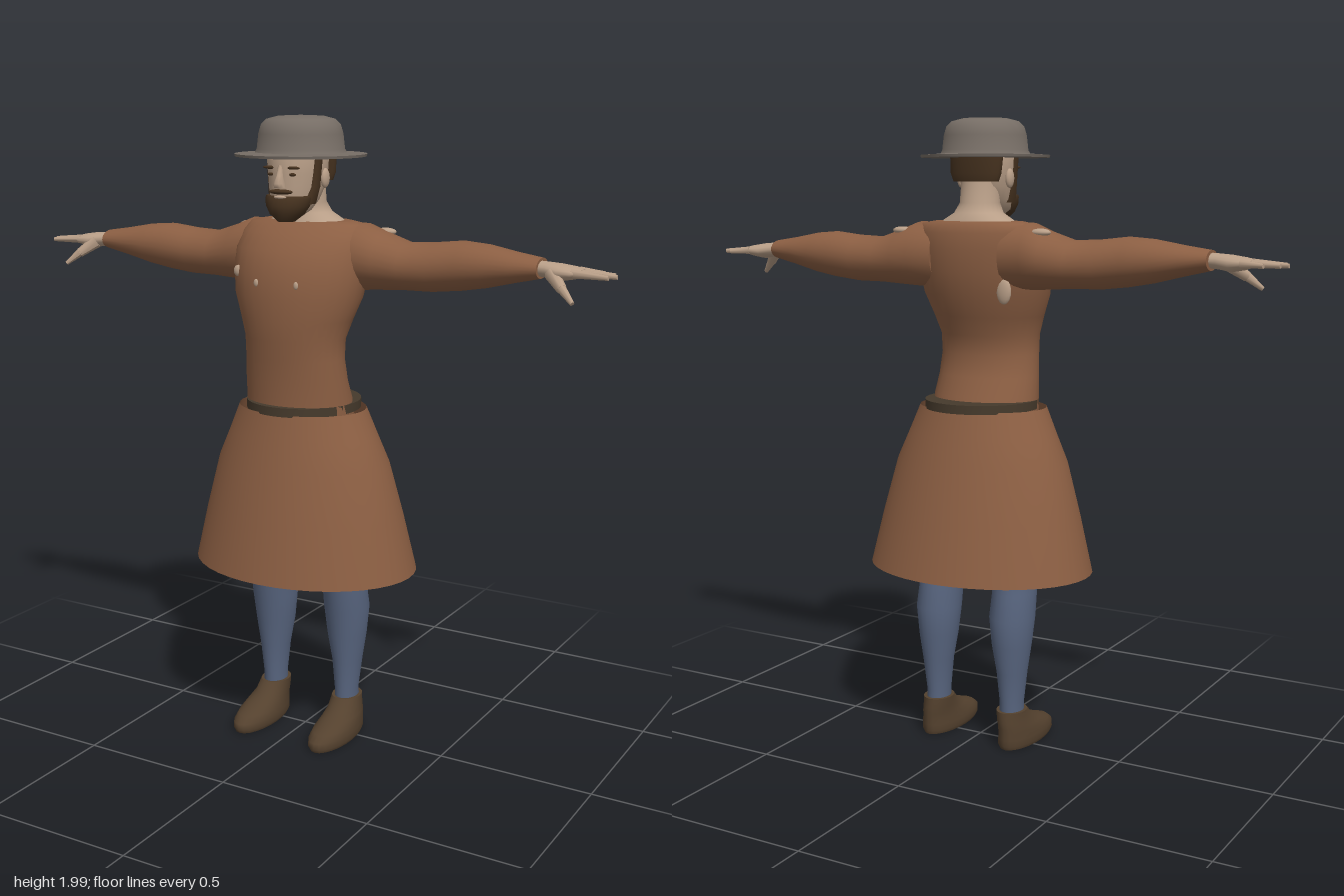
import * as THREE from 'three';
import { toCreasedNormals } from 'three/addons/utils/BufferGeometryUtils.js';

const mat = (name, color, side = THREE.FrontSide) => {
  const m = new THREE.MeshStandardMaterial({ color, side });
  m.name = name;
  return m;
};

// Oval rings [t, u0, u1, v0, v1] stacked in ascending t; (t,u,v) is x,y,z / y,z,x / z,x,y.
function loft(rings, axis, { n = 24, caps = true } = {}) {
  const pos = [], idx = [];
  const put = (t, u, v) => {
    const p = [0, 0, 0];
    p[axis] = t; p[(axis + 1) % 3] = u; p[(axis + 2) % 3] = v;
    pos.push(...p);
    return pos.length / 3 - 1;
  };
  const ring = ([t, u0, u1, v0, v1]) => {
    for (let j = 0; j < n; j++) {
      const a = j / n * Math.PI * 2;
      put(t, (u0 + u1) / 2 + (u1 - u0) / 2 * Math.cos(a), (v0 + v1) / 2 + (v1 - v0) / 2 * Math.sin(a));
    }
  };
  rings.forEach(ring);
  for (let i = 0; i < rings.length - 1; i++) for (let j = 0; j < n; j++) {
    const k = (j + 1) % n, a = i * n + j, b = i * n + k;
    idx.push(a, b, b + n, a, b + n, a + n);
  }
  if (caps) [rings[0], rings[rings.length - 1]].forEach((r, end) => {
    const s = pos.length / 3;
    ring(r);
    const c = put(r[0], (r[1] + r[2]) / 2, (r[3] + r[4]) / 2);
    for (let j = 0; j < n; j++) {
      const k = (j + 1) % n;
      end ? idx.push(c, s + j, s + k) : idx.push(c, s + k, s + j);
    }
  });
  const g = new THREE.BufferGeometry();
  g.setAttribute('position', new THREE.Float32BufferAttribute(pos, 3));
  g.setIndex(idx);
  g.computeVertexNormals();
  return g;
}

// Rings symmetric about x = 0: [y, zBack, zFront, halfWidth]
const column = (rows, opt) => loft(rows.map(([y, b, f, w]) => [y, b, f, -w, w]), 1, opt);

function mirrorX(geo) {
  const g = geo.clone().scale(-1, 1, 1), ix = g.index.array;
  for (let i = 0; i < ix.length; i += 3) [ix[i], ix[i + 1]] = [ix[i + 1], ix[i]];
  g.computeVertexNormals();
  return g;
}

// Tapered rod between two points
function rod(a, b, r0, r1) {
  const A = new THREE.Vector3(...a), d = new THREE.Vector3(...b).sub(A);
  const g = new THREE.CylinderGeometry(r1, r0, d.length(), 8, 1);
  g.applyQuaternion(new THREE.Quaternion().setFromUnitVectors(new THREE.Vector3(0, 1, 0), d.clone().normalize()));
  return g.translate(...A.addScaledVector(d, 0.5).toArray());
}

const blob = (x, y, z, rx, ry, rz) => new THREE.SphereGeometry(1, 14, 10).scale(rx, ry, rz).translate(x, y, z);

export function createModel() {
  const root = new THREE.Group();
  root.name = 'figure';
  const cloth = mat('russetCloth', 0x8c5f43);
  const skirtCloth = mat('skirtCloth', 0x8c5f43, THREE.DoubleSide);
  const skin = mat('skin', 0xb99f88);
  const hair = mat('darkHair', 0x46321f);
  const blue = mat('blueStocking', 0x58657f);
  const leather = mat('shoeLeather', 0x54412e);
  const beltMat = mat('beltLeather', 0x463a2c);
  const felt = mat('greyFelt', 0x766d65);

  const add = (name, geo, m) => {
    const mesh = new THREE.Mesh(geo, m);
    mesh.name = name;
    root.add(mesh);
  };
  const pair = (name, geo, m) => {
    add(name + 'Left', geo, m);
    add(name + 'Right', mirrorX(geo), m);
  };

  // Tunic body
  add('tunic', column([
    [1.08, -0.11, 0.17, 0.178], [1.14, -0.095, 0.17, 0.175], [1.2, -0.065, 0.172, 0.17],
    [1.27, -0.05, 0.177, 0.165], [1.33, -0.06, 0.185, 0.166], [1.39, -0.085, 0.19, 0.185],
    [1.46, -0.11, 0.19, 0.212], [1.53, -0.125, 0.182, 0.222], [1.6, -0.13, 0.158, 0.226],
    [1.65, -0.125, 0.115, 0.218], [1.677, -0.115, 0.085, 0.195], [1.685, -0.1, 0.07, 0.15],
  ], { n: 32 }), cloth);

  // Sleeves: [x, yBottom, yTop, zBack, zFront]
  pair('sleeve', loft([
    [0.12, 1.48, 1.68, -0.115, 0.075], [0.2, 1.478, 1.682, -0.13, 0.08], [0.26, 1.482, 1.658, -0.13, 0.068],
    [0.34, 1.487, 1.632, -0.118, 0.058], [0.43, 1.488, 1.636, -0.112, 0.052], [0.52, 1.498, 1.646, -0.108, 0.05],
    [0.6, 1.512, 1.64, -0.1, 0.048], [0.69, 1.534, 1.624, -0.08, 0.038], [0.77, 1.552, 1.612, -0.066, 0.03],
  ], 0), cloth);

  // Hands
  pair('palm', loft([
    [0.75, 1.56, 1.605, -0.045, 0.015], [0.79, 1.557, 1.603, -0.05, 0.02], [0.83, 1.55, 1.6, -0.062, 0.035],
    [0.87, 1.557, 1.594, -0.064, 0.032], [0.895, 1.565, 1.588, -0.06, 0.025],
  ], 0, { n: 16 }), skin);
  [[-0.053, -0.068, 0.94], [-0.03, -0.04, 0.98], [-0.007, -0.01, 0.995], [0.016, 0.022, 0.98]].forEach(([z0, z1, x], i) => {
    pair('finger' + (i + 1), rod([0.87, 1.577, z0], [x, 1.572, z1], 0.013, 0.007), skin);
  });
  pair('thumbBase', rod([0.81, 1.573, 0.01], [0.855, 1.535, 0.045], 0.022, 0.015), skin);
  pair('thumbTip', rod([0.85, 1.54, 0.042], [0.895, 1.5, 0.066], 0.015, 0.007), skin);

  // Skirt and belt
  add('skirt', column([
    [0.585, -0.29, 0.29, 0.375], [0.76, -0.25, 0.26, 0.333], [0.93, -0.205, 0.225, 0.288],
    [1.02, -0.18, 0.206, 0.247], [1.105, -0.155, 0.188, 0.21],
  ], { n: 40, caps: false }), skirtCloth);
  add('belt', toCreasedNormals(column([
    [1.1, -0.175, 0.192, 0.18], [1.128, -0.175, 0.192, 0.18],
  ], { n: 40 }), 0.6), beltMat);

  // Legs: [y, zBack, zFront, xInner, xOuter]
  pair('stocking', loft([
    [0.08, -0.085, 0.01, 0.1, 0.175], [0.16, -0.085, 0.012, 0.1, 0.173], [0.26, -0.096, 0.02, 0.09, 0.185],
    [0.35, -0.11, 0.034, 0.074, 0.198], [0.44, -0.118, 0.048, 0.065, 0.207], [0.52, -0.104, 0.066, 0.068, 0.203],
    [0.6, -0.1, 0.085, 0.062, 0.2], [0.78, -0.11, 0.11, 0.025, 0.2], [1.0, -0.11, 0.13, 0.005, 0.18],
  ], 1), blue);

  // Shoes
  pair('shoe', loft([
    [0.01, -0.095, 0.185, 0.085, 0.2], [0.022, -0.1, 0.192, 0.079, 0.206], [0.042, -0.1, 0.19, 0.08, 0.205],
    [0.06, -0.1, 0.162, 0.083, 0.202], [0.08, -0.1, 0.105, 0.088, 0.196], [0.1, -0.1, 0.055, 0.09, 0.188],
    [0.132, -0.096, 0.02, 0.09, 0.184],
  ], 1), leather);

  // Neck and head
  add('neck', column([
    [1.66, -0.105, 0.08, 0.15], [1.687, -0.1, 0.072, 0.118], [1.71, -0.085, 0.062, 0.078],
    [1.74, -0.07, 0.06, 0.062], [1.82, -0.06, 0.07, 0.06],
  ]), skin);
  add('head', column([
    [1.7, 0.06, 0.128, 0.034], [1.72, 0.02, 0.14, 0.058], [1.75, -0.02, 0.146, 0.071],
    [1.79, -0.05, 0.15, 0.08], [1.83, -0.06, 0.15, 0.086], [1.88, -0.065, 0.153, 0.09], [1.92, -0.05, 0.14, 0.08],
  ]), skin);
  add('nose', loft([
    [1.79, 0.13, 0.168, -0.018, 0.018], [1.803, 0.13, 0.179, -0.016, 0.016],
    [1.825, 0.13, 0.166, -0.01, 0.01], [1.855, 0.13, 0.155, -0.008, 0.008],
  ], 1, { n: 10 }), skin);
  pair('ear', blob(0.086, 1.815, 0.03, 0.012, 0.03, 0.02), skin);

  // Beard, moustache, hair and features
  add('beard', column([
    [1.688, 0.085, 0.142, 0.026], [1.71, 0.06, 0.158, 0.054], [1.735, 0.045, 0.162, 0.07],
    [1.757, 0.045, 0.156, 0.075], [1.765, 0.05, 0.148, 0.074],
  ]), hair);
  add('moustache', blob(0, 1.778, 0.146, 0.042, 0.008, 0.014), hair);
  add('lips', blob(0, 1.762, 0.15, 0.022, 0.005, 0.008), skin);
  pair('sideburn', loft([
    [1.74, 0.045, 0.11, 0.045, 0.073], [1.79, 0.045, 0.09, 0.06, 0.086], [1.88, 0.045, 0.085, 0.07, 0.094],
  ], 1, { n: 12 }), hair);
  add('backHair', column([
    [1.805, -0.063, 0.005, 0.078], [1.83, -0.07, 0.01, 0.087], [1.88, -0.073, 0.02, 0.09],
  ]), hair);
  pair('eyebrow', blob(0.04, 1.849, 0.142, 0.024, 0.005, 0.006).rotateZ(0), hair);
  pair('eye', blob(0.037, 1.829, 0.14, 0.013, 0.005, 0.005), hair);

  // Hat
  const profile = [[0, 1.878], [0.2, 1.878], [0.202, 1.886], [0.14, 1.89], [0.134, 1.9], [0.129, 1.945],
    [0.121, 1.972], [0.105, 1.988], [0.07, 1.997], [0, 2]].map(p => new THREE.Vector2(...p));
  add('hat', toCreasedNormals(new THREE.LatheGeometry(profile, 40).translate(0, 0, 0.028), 0.7), felt);

  // Worn spots where skin shows through the cloth
  pair('shoulderTear', blob(0.245, 1.654, -0.068, 0.034, 0.012, 0.02), skin);
  add('backTear', blob(-0.13, 1.475, -0.086, 0.025, 0.04, 0.012), skin);
  pair('chestTear', blob(0.07, 1.505, 0.177, 0.008, 0.012, 0.005), skin);
  add('sideChestTear', blob(-0.165, 1.53, 0.128, 0.016, 0.018, 0.01), skin);
  return root;
}
